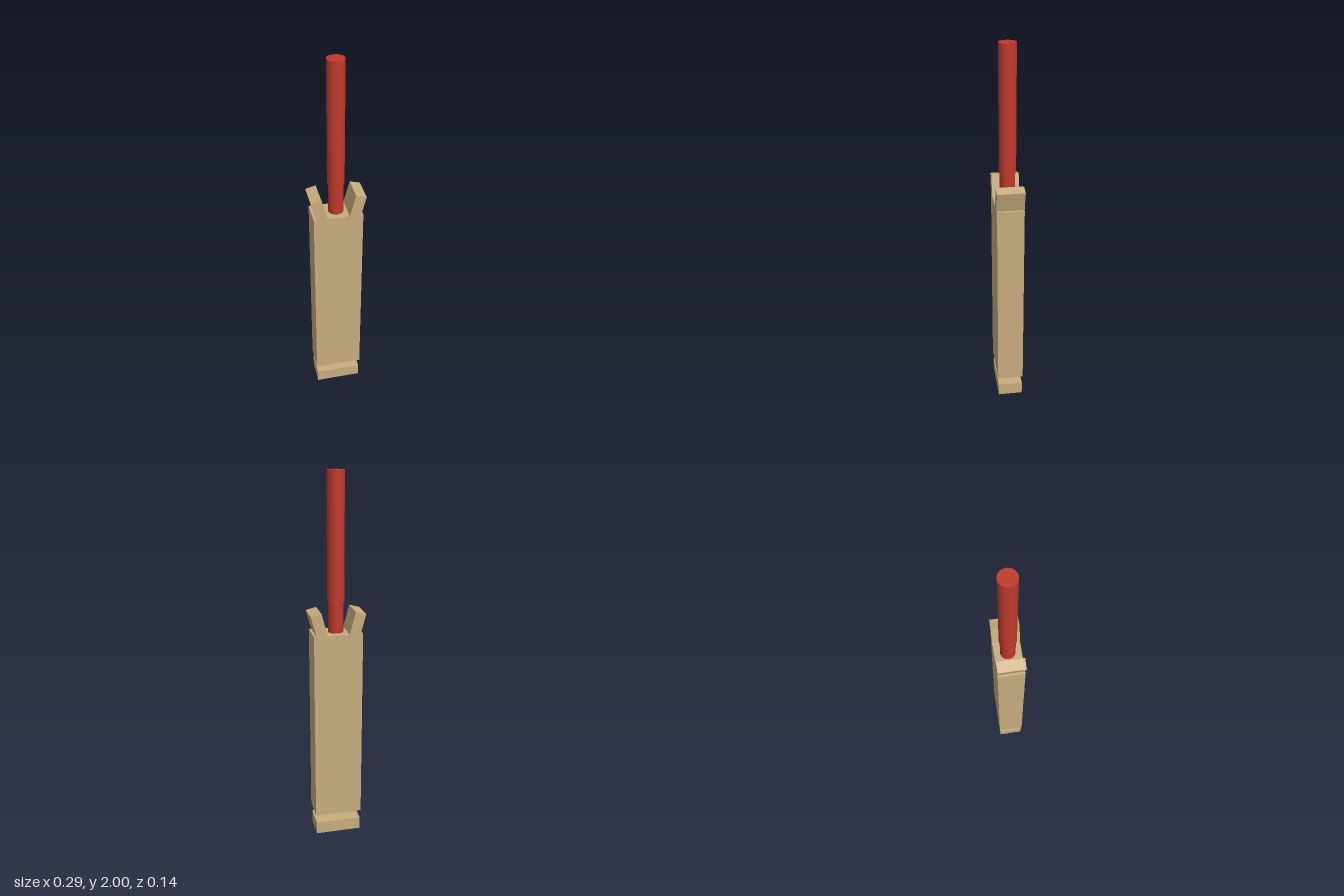
import * as THREE from 'three';

export function createModel() {
  const group = new THREE.Group();
  const wood = new THREE.MeshStandardMaterial({ color: 0xc8ad7f });
  wood.name = 'paleWood';
  const red = new THREE.MeshStandardMaterial({ color: 0xc0392b });
  red.name = 'redGrip';

  const add = (name, geometry, material, x, y) => {
    const mesh = new THREE.Mesh(geometry, material);
    mesh.name = name;
    mesh.position.set(x, y, 0);
    group.add(mesh);
    return mesh;
  };

  // Flat blade with a separate toe block floating below it
  add('blade', new THREE.BoxGeometry(0.26, 1.06, 0.142), wood, 0, 0.65);
  add('toe', new THREE.BoxGeometry(0.25, 0.071, 0.135), wood, 0, 0.0355);

  // Shoulders lean outwards from the top of the blade
  for (const side of [-1, 1]) {
    const shoulder = add(side > 0 ? 'leftShoulder' : 'rightShoulder',
      new THREE.BoxGeometry(0.057, 0.15, 0.145), wood, side * 0.098, 1.22);
    shoulder.rotation.z = -side * 0.26;
  }

  // Slim handle core rising from the blade into the thicker grip
  add('handleCore', new THREE.CylinderGeometry(0.04, 0.04, 0.3, 32), red, 0, 1.25);
  add('grip', new THREE.CylinderGeometry(0.0447, 0.0447, 0.656, 32), red, 0, 1.672);

  return group;
}
